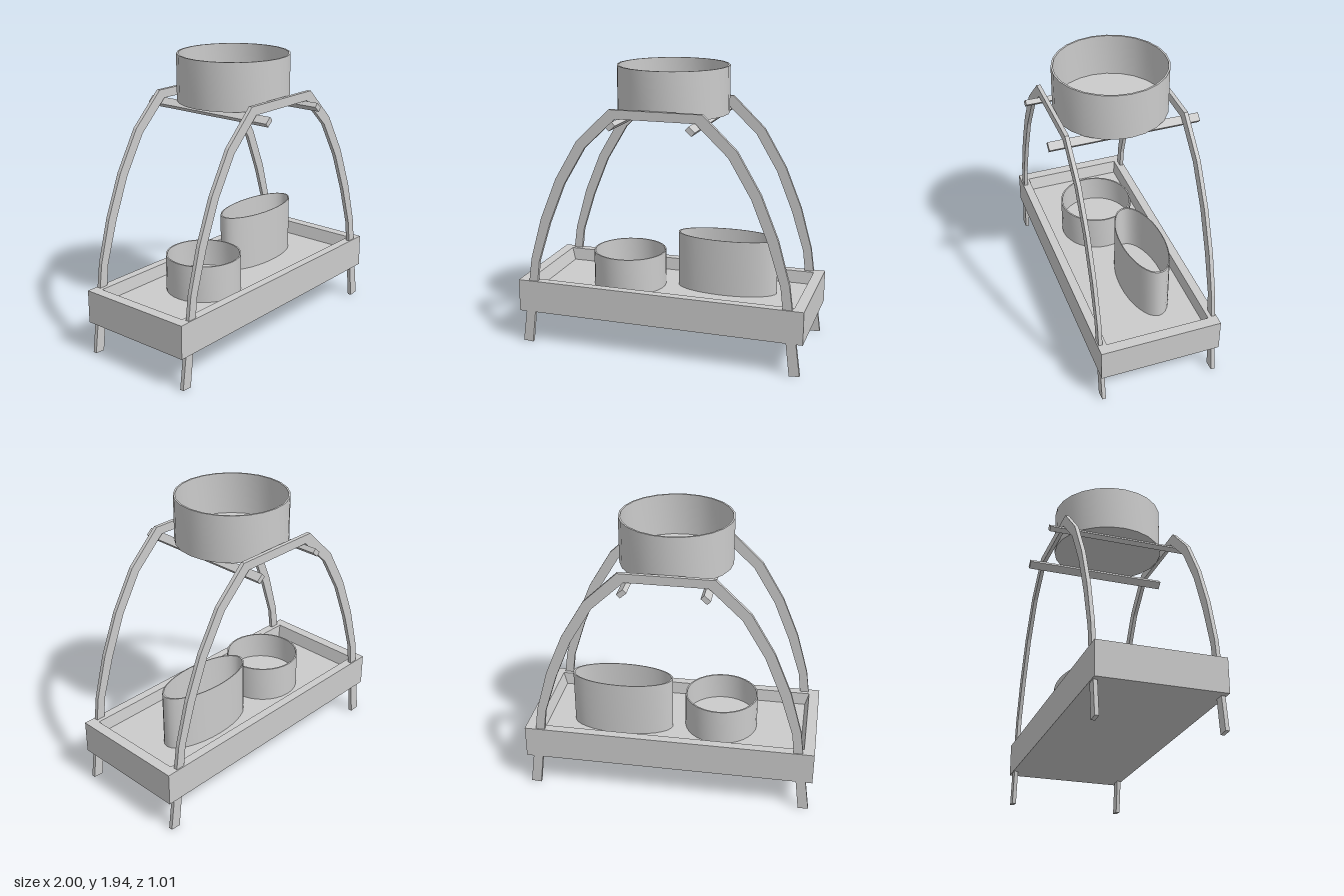
import * as THREE from 'three';
import { toCreasedNormals } from 'three/addons/utils/BufferGeometryUtils.js';

const material = new THREE.MeshStandardMaterial({ color: 0xcccccc });

function mesh(name, geometry) {
  const m = new THREE.Mesh(geometry, material);
  m.name = name;
  return m;
}

// Hollow vessel with a closed bottom; rz differs from rx for an oval one
function vessel(name, { x, z, rx, rz, bottom, floor, top, wall, sides }) {
  const profile = [
    [0, bottom], [rx, bottom], [rx, top], [rx - wall, top], [rx - wall, floor], [0, floor],
  ].map(([r, y]) => new THREE.Vector2(r, y));
  const geometry = new THREE.LatheGeometry(profile, sides);
  geometry.scale(1, 1, rz / rx);
  geometry.translate(x, 0, z);
  return mesh(name, toCreasedNormals(geometry, 0.6));
}

// Shallow tray: rectangular rings joined from the underside, over the rim, to the floor
function tray() {
  const rings = [
    [0, 0, 0.23], [1, 0.415, 0.23], [1, 0.415, 0.457],
    [0.928, 0.355, 0.457], [0.902, 0.343, 0.37], [0, 0, 0.37],
  ];
  const corner = ([hx, hz, y], i) => {
    const sx = [1, 1, -1, -1][i % 4];
    const sz = [1, -1, -1, 1][i % 4];
    return [sx * hx, y, sz * hz];
  };
  const positions = [];
  for (let r = 0; r < rings.length - 1; r++) {
    for (let i = 0; i < 4; i++) {
      const a = corner(rings[r], i), b = corner(rings[r], i + 1);
      const c = corner(rings[r + 1], i + 1), d = corner(rings[r + 1], i);
      if (r > 0) positions.push(...a, ...b, ...c);
      if (r === 0) positions.push(...a, ...c, ...d);
      else if (r < rings.length - 2) positions.push(...a, ...c, ...d);
    }
  }
  const geometry = new THREE.BufferGeometry();
  geometry.setAttribute('position', new THREE.Float32BufferAttribute(positions, 3));
  geometry.computeVertexNormals();
  return mesh('tray', geometry);
}

// Faceted arch whose two ends are the feet
function archGeometry() {
  const outer = [[0.984, 0.005], [0.9, 0.62], [0.817, 0.915], [0.7, 1.2], [0.542, 1.468], [0.313, 1.688]];
  const inner = [[0.27, 1.628], [0.485, 1.425], [0.638, 1.168], [0.752, 0.888], [0.842, 0.605], [0.914, 0]];
  const flip = (points) => points.map(([x, y]) => [-x, y]).reverse();
  const outline = [...outer, ...flip(outer), ...flip(inner), ...inner];
  const shape = new THREE.Shape(outline.map(([x, y]) => new THREE.Vector2(x, y)));
  const depth = 0.026;
  return new THREE.ExtrudeGeometry(shape, { depth, bevelEnabled: false }).translate(0, 0, -depth / 2);
}

export function createModel() {
  const group = new THREE.Group();
  group.name = 'archedStand';
  group.add(tray());

  // Front and back arches
  const arch = archGeometry();
  for (const [name, z] of [['frontArch', 0.394], ['backArch', -0.394]]) {
    const m = mesh(name, arch);
    m.position.z = z;
    group.add(m);
  }

  // Cross rails under the arches, turned on edge
  for (const [name, s] of [['leftRail', 1], ['rightRail', -1]]) {
    const rail = mesh(name, new THREE.BoxGeometry(0.056, 0.034, 1.006));
    rail.position.set(s * 0.264, 1.597, 0);
    rail.rotation.z = -s * 0.72;
    group.add(rail);
  }

  // Vessels
  group.add(vessel('topBasin', {
    x: -0.002, z: 0, rx: 0.378, rz: 0.378, bottom: 1.625, floor: 1.655, top: 1.942, wall: 0.012, sides: 24,
  }));
  group.add(vessel('roundPot', {
    x: -0.323, z: 0.003, rx: 0.255, rz: 0.255, bottom: 0.365, floor: 0.435, top: 0.622, wall: 0.01, sides: 32,
  }));
  group.add(vessel('ovalPot', {
    x: 0.364, z: -0.092, rx: 0.355, rz: 0.149, bottom: 0.365, floor: 0.435, top: 0.762, wall: 0.012, sides: 32,
  }));
  return group;
}
